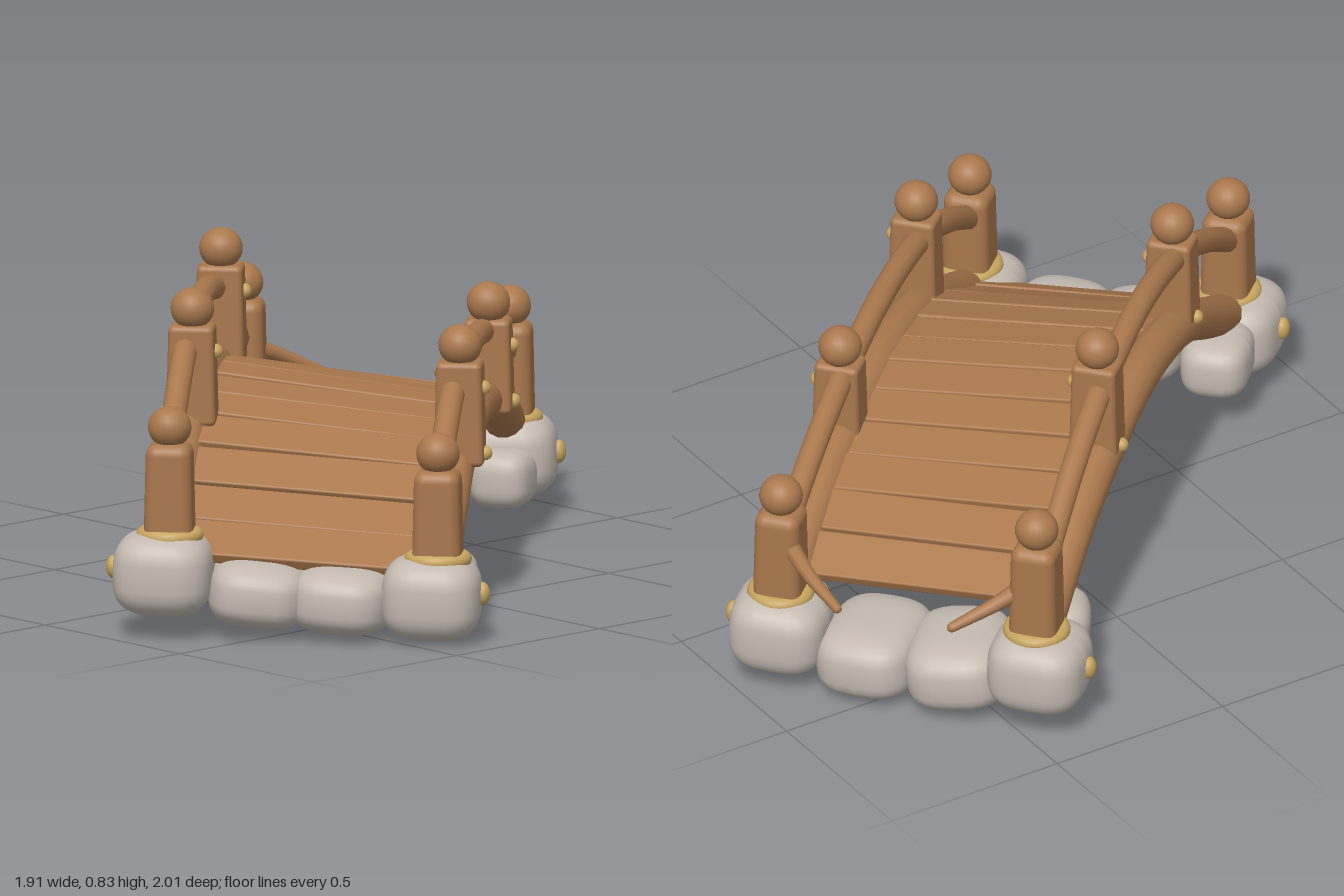
import * as THREE from 'three';
import { RoundedBoxGeometry } from 'three/addons/geometries/RoundedBoxGeometry.js';

const mat = (name, color) => {
  const m = new THREE.MeshStandardMaterial({ color });
  m.name = name;
  return m;
};

export function createModel() {
  const wood = mat('wood', 0xaa784d);
  const stone = mat('stone', 0xc4bab1);
  const brass = mat('brass', 0xc8a560);

  // Bridge is built along local z, then turned diagonally
  const model = new THREE.Group();
  model.name = 'archedBridge';
  const bridge = new THREE.Group();
  bridge.name = 'bridge';
  bridge.rotation.y = 0.706;
  bridge.position.set(0.015, 0, -0.005);
  model.add(bridge);

  const add = (name, geo, material, x, y, z) => {
    const m = new THREE.Mesh(geo, material);
    m.name = name;
    m.position.set(x, y, z);
    bridge.add(m);
    return m;
  };

  let seed = 7;
  const rand = () => {
    seed = (seed * 16807) % 2147483647;
    return seed / 2147483647 - 0.5;
  };

  // Arch curves as [z, y] points, one per side; the deck leans to +x
  const half = 0.345;
  const arch = (x, pts) =>
    new THREE.CatmullRomCurve3(pts.map(([z, y]) => new THREE.Vector3(x, y, z)));
  const beams = [
    arch(-half, [[-0.87, 0.24], [-0.55, 0.4], [-0.29, 0.475], [0, 0.515], [0.36, 0.45], [0.6, 0.325], [0.84, 0.19]]),
    arch(half, [[-0.87, 0.2], [-0.6, 0.32], [-0.29, 0.4], [0.05, 0.432], [0.38, 0.375], [0.6, 0.265], [0.84, 0.14]]),
  ];
  const rails = [
    arch(-half, [[-0.85, 0.41], [-0.55, 0.58], [-0.29, 0.675], [0.03, 0.717], [0.36, 0.665], [0.6, 0.56], [0.83, 0.42]]),
    arch(half, [[-0.83, 0.41], [-0.57, 0.51], [-0.29, 0.58], [0.05, 0.612], [0.38, 0.575], [0.6, 0.49], [0.83, 0.36]]),
  ];
  beams.forEach((c) => add('sideBeam', new THREE.TubeGeometry(c, 40, 0.054, 14), wood, 0, 0, 0));
  rails.forEach((c) => add('handrail', new THREE.TubeGeometry(c, 40, 0.032, 12), wood, 0, 0, 0));

  // Height of a curve at a given z
  const heightAt = (curve, z) => {
    let lo = 0, hi = 1;
    for (let i = 0; i < 24; i++) {
      const mid = (lo + hi) / 2;
      if (curve.getPoint(mid).z < z) lo = mid;
      else hi = mid;
    }
    return curve.getPoint(lo).y;
  };

  // Deck planks follow both beams, resting in their upper half
  const count = 13, z0 = -0.77, z1 = 0.83, pitch = (z1 - z0) / count;
  const mean = (z) => (heightAt(beams[0], z) + heightAt(beams[1], z)) / 2;
  for (let i = 0; i < count; i++) {
    const z = z0 + (i + 0.5) * pitch;
    const slope = (mean(z + pitch / 2) - mean(z - pitch / 2)) / pitch;
    const tilt = (heightAt(beams[1], z) - heightAt(beams[0], z)) / (2 * half);
    const geo = new RoundedBoxGeometry(0.66, 0.032, (pitch - 0.004) * Math.hypot(1, slope), 2, 0.006);
    const p = add('plank', geo, wood, 0, mean(z) + 0.012 + rand() * 0.006, z);
    p.rotation.set(-Math.atan(slope), rand() * 0.02, Math.atan(tilt));
  }

  // Round caps, pegs and softly squared posts with a slight taper
  const capGeo = new THREE.SphereGeometry(0.056, 20, 14);
  const pegGeo = new THREE.SphereGeometry(0.019, 12, 8);
  const post = (name, x, z, bottom, top, w, d, round) => {
    const geo = new RoundedBoxGeometry(w, top - bottom, d, 4, round);
    const p = geo.attributes.position;
    for (let i = 0; i < p.count; i++) {
      const k = 1 - (0.1 * p.getY(i)) / (top - bottom);
      p.setXYZ(i, p.getX(i) * k, p.getY(i), p.getZ(i) * k);
    }
    add(name, geo, wood, x, (top + bottom) / 2, z);
    add('postCap', capGeo, wood, x, top + 0.04, z).scale.y = 0.95;
  };

  // Stones: a sphere pushed toward a soft box
  const stoneGeo = new THREE.SphereGeometry(1, 28, 18);
  const sp = stoneGeo.attributes.position;
  const soften = (v) => Math.sign(v) * Math.pow(Math.abs(v), 0.66);
  for (let i = 0; i < sp.count; i++) {
    sp.setXYZ(i, soften(sp.getX(i)), soften(sp.getY(i)), soften(sp.getZ(i)));
  }
  stoneGeo.computeVertexNormals();
  const rock = (name, x, y, z, sx, sy, sz, turn, lean) => {
    const m = add(name, stoneGeo, stone, x, y, z);
    m.scale.set(sx, sy, sz);
    m.rotation.set(0, turn, lean);
  };

  // Corner posts on footing stones: x, z, collar height, post top, stone x, stone y
  const corners = [
    [-0.34, -0.85, 0.276, 0.537, -0.35, 0.175],
    [0.35, -0.825, 0.247, 0.497, 0.347, 0.15],
    [-0.335, 0.835, 0.262, 0.502, -0.35, 0.165],
    [0.353, 0.83, 0.214, 0.447, 0.338, 0.115],
  ];
  for (const [x, z, base, top, sx, sy] of corners) {
    post('cornerPost', x, z, base - 0.05, top, 0.122, 0.122, 0.03);
    const collar = add('collar', new THREE.TorusGeometry(0.068, 0.019, 10, 28), brass, x, base, z);
    collar.rotation.x = Math.PI / 2;
    rock('footingStone', sx, sy, z + Math.sign(z) * 0.005, 0.128, 0.107, 0.127, rand() * 0.1, rand() * 0.1);
    const peg = add('stonePeg', pegGeo, brass, sx + Math.sign(x) * 0.13, sy + 0.01, z);
    peg.scale.set(1, 1.6, 1.3);
  }

  // Middle posts pinned to the beams: x, z, bottom, top
  const middles = [
    [-0.33, -0.29, 0.47, 0.74],
    [-0.33, 0.363, 0.455, 0.715],
    [0.357, -0.287, 0.37, 0.615],
    [0.36, 0.386, 0.37, 0.64],
  ];
  for (const [x, z, bottom, top] of middles) {
    post('middlePost', x, z, bottom, top, 0.122, 0.095, 0.015);
    add('lowerPeg', pegGeo, brass, x + Math.sign(x) * 0.064, bottom + 0.03, z);
    add('upperPeg', pegGeo, brass, x + 0.06, top - 0.07, z);
  }

  // Tapered, broken rail ends at the back
  const steps = 14, sides = 8;
  for (const s of [-1, 1]) {
    const path = new THREE.CatmullRomCurve3([
      new THREE.Vector3(s * 0.34, 0.42, -0.83),
      new THREE.Vector3(s * 0.25, 0.375, -0.918),
      new THREE.Vector3(s * 0.153, 0.325, -0.98),
    ]);
    const geo = new THREE.TubeGeometry(path, steps, 0.026, sides);
    const p = geo.attributes.position;
    const v = new THREE.Vector3();
    for (let i = 0; i < p.count; i++) {
      const t = Math.floor(i / (sides + 1)) / steps;
      const c = path.getPointAt(t);
      v.fromBufferAttribute(p, i).sub(c).multiplyScalar(1 - 0.5 * t).add(c);
      p.setXYZ(i, v.x, v.y, v.z);
    }
    add('brokenRailEnd', geo, wood, 0, 0, 0);
    const tip = path.getPoint(1);
    add('railEndTip', new THREE.SphereGeometry(0.013, 8, 6), wood, tip.x, tip.y, tip.z);
  }

  // Abutment stones between and inside the corners
  const fill = [
    [-0.12, 0.112, -0.795, 0.135, 0.095, 0.165, 0.12, -0.1],
    [0.11, 0.098, -0.785, 0.135, 0.095, 0.165, -0.08, -0.05],
    [-0.11, 0.112, 0.795, 0.13, 0.085, 0.16, 0.1, -0.1],
    [0.11, 0.1, 0.8, 0.13, 0.085, 0.15, -0.1, -0.05],
    [-0.335, 0.185, -0.67, 0.09, 0.085, 0.09, 0.3, 0.1],
    [0.35, 0.115, -0.695, 0.08, 0.075, 0.085, -0.2, 0],
    [-0.36, 0.17, 0.66, 0.09, 0.08, 0.11, 0.1, 0],
    [0.35, 0.125, 0.66, 0.08, 0.075, 0.09, -0.2, 0],
    [-0.2, 0.075, -0.71, 0.085, 0.05, 0.08, 0.4, 0.1],
  ];
  fill.forEach((f) => rock('abutmentStone', ...f));

  return model;
}
